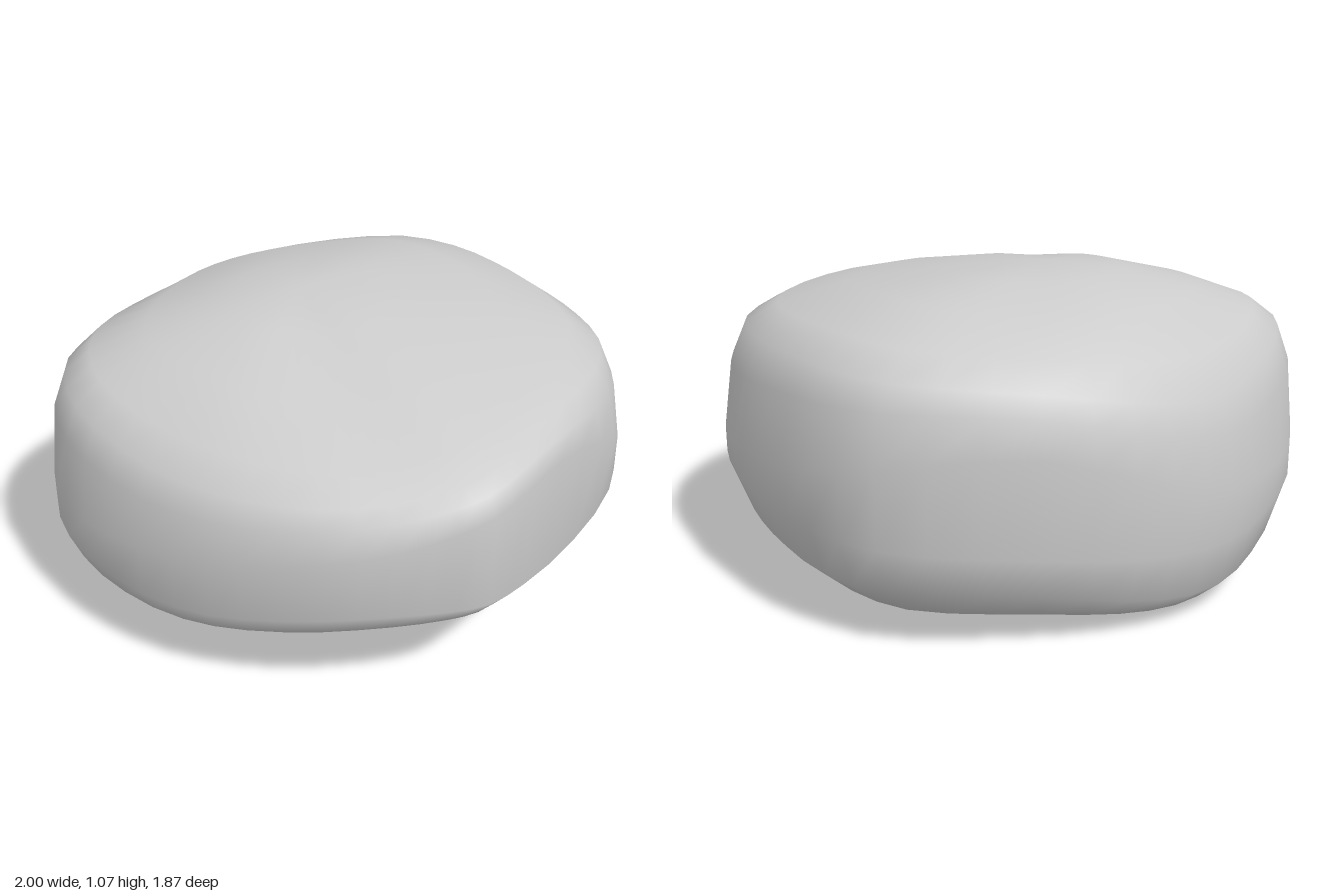
import * as THREE from 'three';
import { mergeVertices } from 'three/addons/utils/BufferGeometryUtils.js';

// Plan outline as x, z pairs, from the front round past the model's left
const OUTLINE = [
  [0.07, 0.93], [0.26, 0.92], [0.37, 0.89], [0.5, 0.79], [0.72, 0.56], [0.92, 0.28],
  [1, 0.03], [0.97, -0.18], [0.9, -0.36], [0.8, -0.53], [0.65, -0.73], [0.44, -0.89],
  [0.12, -0.94], [-0.22, -0.9], [-0.47, -0.8], [-0.68, -0.65], [-0.83, -0.46], [-0.96, -0.21],
  [-1, 0.03], [-0.95, 0.25], [-0.8, 0.47], [-0.6, 0.66], [-0.39, 0.8], [-0.15, 0.9],
];

// Ring sizes relative to the outline, from underside to crown
const SCALES = [0, 0.3, 0.6, 0.85, 0.95, 1, 1, 0.97, 0.92, 0.82, 0.6, 0.3, 0];

// The crown and the lowest point sit a little off centre
const CENTRE = { x: -0.12, z: -0.08 };

// Ring heights in eight directions, 45 degrees apart, starting at the front
const HEIGHTS = [
  [0.08, 0.19, 0.28, 0.34, 0.42, 0.64, 0.73, 0.77, 0.83, 0.93, 1.02],
  [0.07, 0.17, 0.28, 0.34, 0.4, 0.78, 0.84, 0.88, 0.92, 0.98, 1.04],
  [0.04, 0.09, 0.18, 0.28, 0.4, 0.5, 0.73, 0.86, 0.93, 1.0, 1.05],
  [0.02, 0.06, 0.12, 0.21, 0.38, 0.57, 0.78, 0.88, 0.96, 1.03, 1.06],
  [0.005, 0.025, 0.11, 0.21, 0.35, 0.67, 0.79, 0.85, 0.925, 1.0, 1.05],
  [0.005, 0.015, 0.04, 0.11, 0.28, 0.46, 0.64, 0.75, 0.87, 0.99, 1.05],
  [0.01, 0.03, 0.1, 0.22, 0.34, 0.45, 0.72, 0.84, 0.91, 0.98, 1.045],
  [0.05, 0.1, 0.17, 0.23, 0.31, 0.5, 0.66, 0.75, 0.84, 0.96, 1.04],
].map((h) => [0.015, ...h, 1.07]);

// Height of a ring at a bearing, on a smooth cubic through the eight directions
function ringHeight(ring, x, z) {
  const a = (Math.atan2(x, z) / (Math.PI / 4) + 8) % 8;
  const k = Math.floor(a);
  const t = a - k;
  const [p, q, r, s] = [7, 8, 9, 10].map((d) => HEIGHTS[(k + d) % 8][ring]);
  return q + 0.5 * t * (r - p + t * (2 * p - 5 * q + 4 * r - s + t * (3 * (q - r) + s - p)));
}

function stoneGeometry() {
  const curve = new THREE.CatmullRomCurve3(
    OUTLINE.map(([x, z]) => new THREE.Vector3(x, 0, z)), true);
  const n = OUTLINE.length * 2;
  const positions = [];
  const index = [];
  SCALES.forEach((s, i) => {
    for (let j = 0; j < n; j++) {
      const p = curve.getPoint(j / n);
      positions.push(
        THREE.MathUtils.lerp(CENTRE.x, p.x, s),
        ringHeight(i, p.x, p.z),
        THREE.MathUtils.lerp(CENTRE.z, p.z, s));
    }
  });
  // Skin the rings; the first and last close to a point
  const last = SCALES.length - 2;
  for (let i = 0; i <= last; i++) {
    for (let j = 0; j < n; j++) {
      const a = i * n + j;
      const b = i * n + (j + 1) % n;
      if (i > 0) index.push(a, b, b + n);
      if (i < last) index.push(a, b + n, a + n);
    }
  }
  const geometry = new THREE.BufferGeometry();
  geometry.setAttribute('position', new THREE.Float32BufferAttribute(positions, 3));
  geometry.setIndex(index);
  const merged = mergeVertices(geometry);
  merged.computeVertexNormals();
  return merged;
}

export function createModel() {
  const group = new THREE.Group();
  group.name = 'rock';
  const stone = new THREE.Mesh(
    stoneGeometry(), new THREE.MeshStandardMaterial({ color: 0xcccccc }));
  stone.name = 'stone';
  // Rest the stone on the ground
  stone.geometry.computeBoundingBox();
  stone.position.y = -stone.geometry.boundingBox.min.y;
  group.add(stone);
  return group;
}
